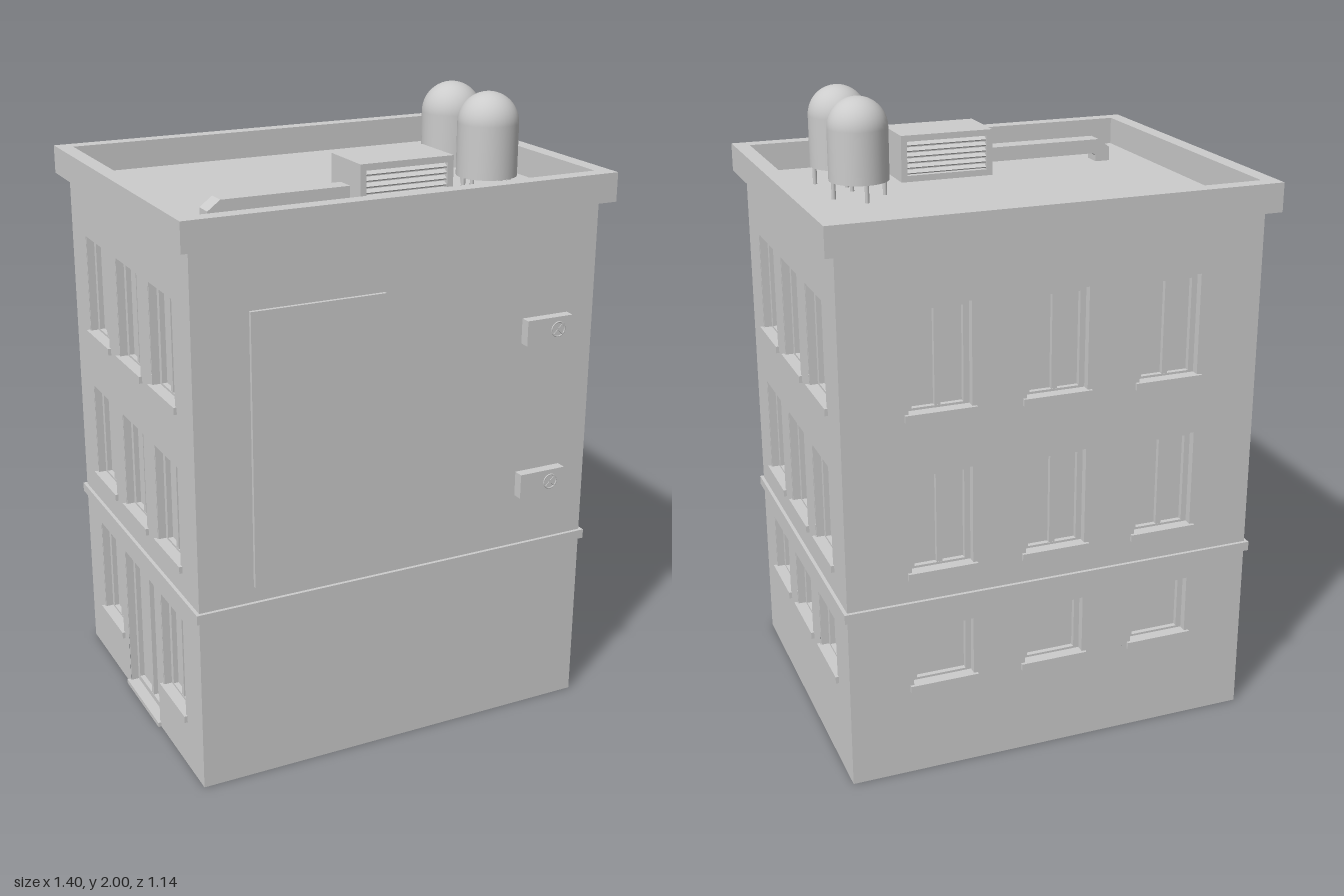
import * as THREE from 'three';

const mat = new THREE.MeshStandardMaterial({ color: 0xcccccc, side: THREE.DoubleSide });
const W = 1.33, D = 1.06, H = 1.69; // body width, depth, roof level

function add(parent, name, geo, x = 0, y = 0, z = 0) {
  const m = new THREE.Mesh(geo, mat);
  m.name = name;
  m.position.set(x, y, z);
  parent.add(m);
  return m;
}
const box = (w, h, d) => new THREE.BoxGeometry(w, h, d);

function rect(T, x0, y0, x1, y1) {
  const p = new T();
  p.moveTo(x0, y0);
  p.lineTo(x1, y0);
  p.lineTo(x1, y1);
  p.lineTo(x0, y1);
  p.closePath();
  return p;
}

// Rectangular frame, centred in x and y, extruded from z = 0 to z = depth
function ring(w, h, t, depth) {
  const s = rect(THREE.Shape, -w / 2, -h / 2, w / 2, h / 2);
  s.holes.push(rect(THREE.Path, -w / 2 + t, -h / 2 + t, w / 2 - t, h / 2 - t));
  return new THREE.ExtrudeGeometry(s, { depth, bevelEnabled: false });
}

// Recessed window or door; local origin at the centre of the opening
function opening(o) {
  const g = new THREE.Group();
  const h = o.y1 - o.y0;
  g.name = o.door ? 'door' : 'window';
  g.position.set(o.x, (o.y0 + o.y1) / 2, 0);
  add(g, 'reveal', ring(o.w + 0.008, h + 0.008, 0.004, 0.043), 0, 0, -0.045);
  add(g, 'frame', ring(o.w, h, 0.018, 0.018), 0, 0, -0.045);
  add(g, 'pane', new THREE.PlaneGeometry(o.w, h), 0, 0, -0.043);
  if (o.mullion) add(g, 'mullion', box(0.018, h - 0.03, 0.016), 0, 0, -0.036);
  if (o.door) add(g, 'doorstep', box(o.w + 0.02, 0.015, 0.055), 0, -h / 2 - 0.0075, -0.0175);
  else add(g, 'sill', box(o.w + 0.025, 0.022, 0.055), 0, -h / 2, -0.0175);
  return g;
}

// One thin wall with its openings, facing +z before it is turned
function wall(name, width, dist, turn, openings) {
  const g = new THREE.Group();
  g.name = name;
  const s = rect(THREE.Shape, -width / 2, 0, width / 2, H);
  for (const o of openings) {
    s.holes.push(rect(THREE.Path, o.x - o.w / 2, o.y0, o.x + o.w / 2, o.y1));
    g.add(opening(o));
  }
  add(g, 'wallFace', new THREE.ShapeGeometry(s), 0, 0, 0);
  g.children.forEach((c) => { c.position.z += dist; });
  g.rotation.y = turn;
  return g;
}

function windowRow(spacing, y0, y1, mullion, columns = [-1, 0, 1]) {
  return columns.map((i) => ({ x: i * spacing, w: 0.195, y0, y1, mullion }));
}

// Domed water tank on four legs
function tank(z) {
  const g = new THREE.Group();
  g.name = 'waterTank';
  g.position.set(0.415, 0, z);
  const r = 0.094, pts = [new THREE.Vector2(0, 1.745), new THREE.Vector2(r, 1.745)];
  const shell = [new THREE.Vector2(r, 1.745)];
  for (let i = 0; i <= 12; i++) {
    const a = (i / 12) * Math.PI / 2;
    shell.push(new THREE.Vector2(r * Math.cos(a), 1.906 + r * Math.sin(a)));
  }
  add(g, 'tankBase', new THREE.LatheGeometry(pts, 32));
  add(g, 'tankShell', new THREE.LatheGeometry(shell, 32));
  for (let i = 0; i < 4; i++) {
    const a = i * Math.PI / 2;
    add(g, 'tankLeg', new THREE.CylinderGeometry(0.007, 0.007, 0.07, 8),
      0.082 * Math.cos(a), H + 0.032, 0.082 * Math.sin(a));
  }
  return g;
}

// Rooftop ventilation unit with louvres front and back, and a bent duct
function ventilation() {
  const g = new THREE.Group();
  g.name = 'ventilationUnit';
  const cx = 0.08, cz = 0.295, y0 = H, y1 = 1.84, w = 0.31, h = y1 - y0, cy = (y0 + y1) / 2;
  add(g, 'unitCore', box(w - 0.01, h - 0.004, 0.15), cx, cy, cz);
  add(g, 'unitCasing', ring(w, h, 0.02, 0.19), cx, cy, cz - 0.095);
  for (const side of [-1, 1]) {
    for (let i = 0; i < 6; i++) {
      const slat = add(g, 'louvre', box(w - 0.04, 0.004, 0.018),
        cx, y0 + 0.03 + i * 0.018, cz + side * 0.083);
      slat.rotation.x = side * 0.5;
    }
  }
  // Duct profile in x and y, with a chamfered elbow down to the roof
  const s = new THREE.Shape();
  [[-0.07, 1.765], [-0.485, 1.765], [-0.525, 1.735], [-0.525, H], [-0.475, H],
    [-0.475, 1.71], [-0.465, 1.718], [-0.07, 1.718]]
    .forEach(([x, y], i) => (i ? s.lineTo(x, y) : s.moveTo(x, y)));
  add(g, 'duct', new THREE.ExtrudeGeometry(s, { depth: 0.06, bevelEnabled: false }), 0, 0, 0.265);
  return g;
}

// Wall-mounted cooling unit with a round fan
function coolingUnit(y) {
  const g = new THREE.Group();
  g.name = 'coolingUnit';
  g.position.set(0, y, D / 2);
  add(g, 'coolerBody', box(0.16, 0.08, 0.034), 0.49, 0, 0.016);
  add(g, 'fanRim', new THREE.TorusGeometry(0.023, 0.0025, 8, 24), 0.52, 0, 0.033);
  for (let i = 0; i < 2; i++) {
    const bar = add(g, 'fanBlade', box(0.044, 0.005, 0.003), 0.52, 0, 0.0335);
    bar.rotation.z = Math.PI / 4 + i * Math.PI / 2;
  }
  return g;
}

export function createModel() {
  const model = new THREE.Group();
  model.name = 'building';

  // Walls
  const upper = (s) => [...windowRow(s, 0.68, 1.005, true), ...windowRow(s, 1.185, 1.515, true)];
  const low = (s) => windowRow(s, 0.297, 0.5, false);
  const door = { x: 0, w: 0.285, y0: 0.015, y1: 0.505, mullion: true, door: true };
  model.add(
    wall('frontWall', W, D / 2, 0, []),
    wall('backWall', W, D / 2, Math.PI, [...low(0.365), ...upper(0.365)]),
    wall('leftWall', D, W / 2, Math.PI / 2, [...low(0.292), ...upper(0.292)]),
    wall('rightWall', D, W / 2, -Math.PI / 2,
      [door, ...windowRow(0.292, 0.168, 0.505, true, [-1, 1]), ...upper(0.292)]),
  );

  // Roof, parapet and string course
  const roof = add(model, 'roof', new THREE.PlaneGeometry(1.34, 1.08), 0, H, 0);
  roof.rotation.x = -Math.PI / 2;
  const parapet = add(model, 'parapet', ring(1.4, 1.14, 0.05, 0.09), 0, H, 0);
  parapet.rotation.x = -Math.PI / 2;
  const band = add(model, 'stringCourse', ring(W + 0.022, D + 0.022, 0.014, 0.03), 0, 0.565, 0);
  band.rotation.x = -Math.PI / 2;

  // Front wall fittings
  add(model, 'wallPanel', box(0.425, 0.85, 0.014), -0.2775, 1.07, D / 2 + 0.005);
  model.add(coolingUnit(1.31), coolingUnit(0.805));

  // Rooftop equipment
  model.add(tank(0.065), tank(0.285), ventilation());
  return model;
}
